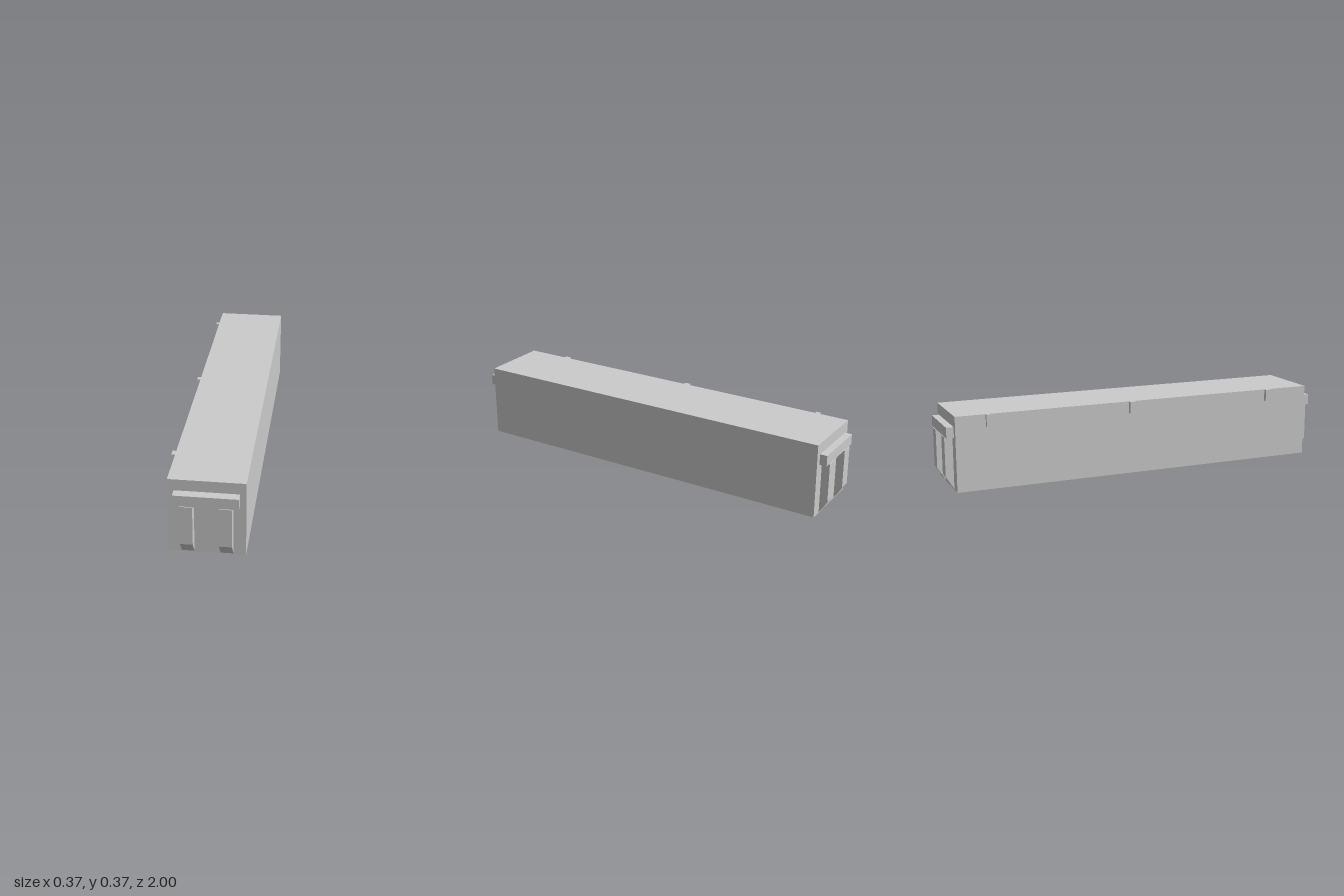
import * as THREE from 'three';

const material = new THREE.MeshStandardMaterial({ color: 0xcccccc, flatShading: true });

// Box given by its minimum and maximum corners
function box(name, [x0, y0, z0], [x1, y1, z1]) {
  const geometry = new THREE.BoxGeometry(x1 - x0, y1 - y0, z1 - z0);
  geometry.translate((x0 + x1) / 2, (y0 + y1) / 2, (z0 + z1) / 2);
  const mesh = new THREE.Mesh(geometry, material);
  mesh.name = name;
  return mesh;
}

// Upright rib with a chamfered foot; its profile runs outward from the end wall
function rib(name, x0, x1, wall, tip) {
  const shape = new THREE.Shape([
    [wall, 0.003], [tip, 0.068], [tip, 0.262], [wall, 0.262],
  ].map(([z, y]) => new THREE.Vector2(z, y)));
  const geometry = new THREE.ExtrudeGeometry(shape, { depth: x1 - x0, bevelEnabled: false });
  geometry.rotateY(-Math.PI / 2); // profile x -> z, extrusion -> -x
  geometry.translate(x1, 0, 0);
  const mesh = new THREE.Mesh(geometry, material);
  mesh.name = name;
  return mesh;
}

export function createModel() {
  const group = new THREE.Group();
  group.name = 'longCase';
  const left = 0.182, right = -0.166, front = 0.952, back = -0.96;

  // Case and lid
  group.add(box('caseBody', [right, 0, back], [left, 0.33, front]));
  group.add(box('lid', [right, 0.33, back], [left, 0.37, front]));

  // Handle bar and two ribs at each end
  for (const [end, wall, side] of [['front', front, 1], ['back', back, -1]]) {
    const barTip = side * 0.996;
    group.add(box(end + 'HandleBar',
      [-0.138, 0.262, Math.min(wall, barTip)], [0.154, 0.315, Math.max(wall, barTip)]));
    group.add(rib(end + 'RibRight', -0.108, -0.05, wall, side));
    group.add(rib(end + 'RibLeft', 0.067, 0.125, wall, side));
  }

  // Small hinge blocks along the right edge
  for (const [z, width] of [[-0.8, 0.022], [-0.058, 0.03], [0.721, 0.034]]) {
    group.add(box('hinge', [-0.183, 0.31, z - width / 2], [right, 0.37, z + width / 2]));
  }
  return group;
}
